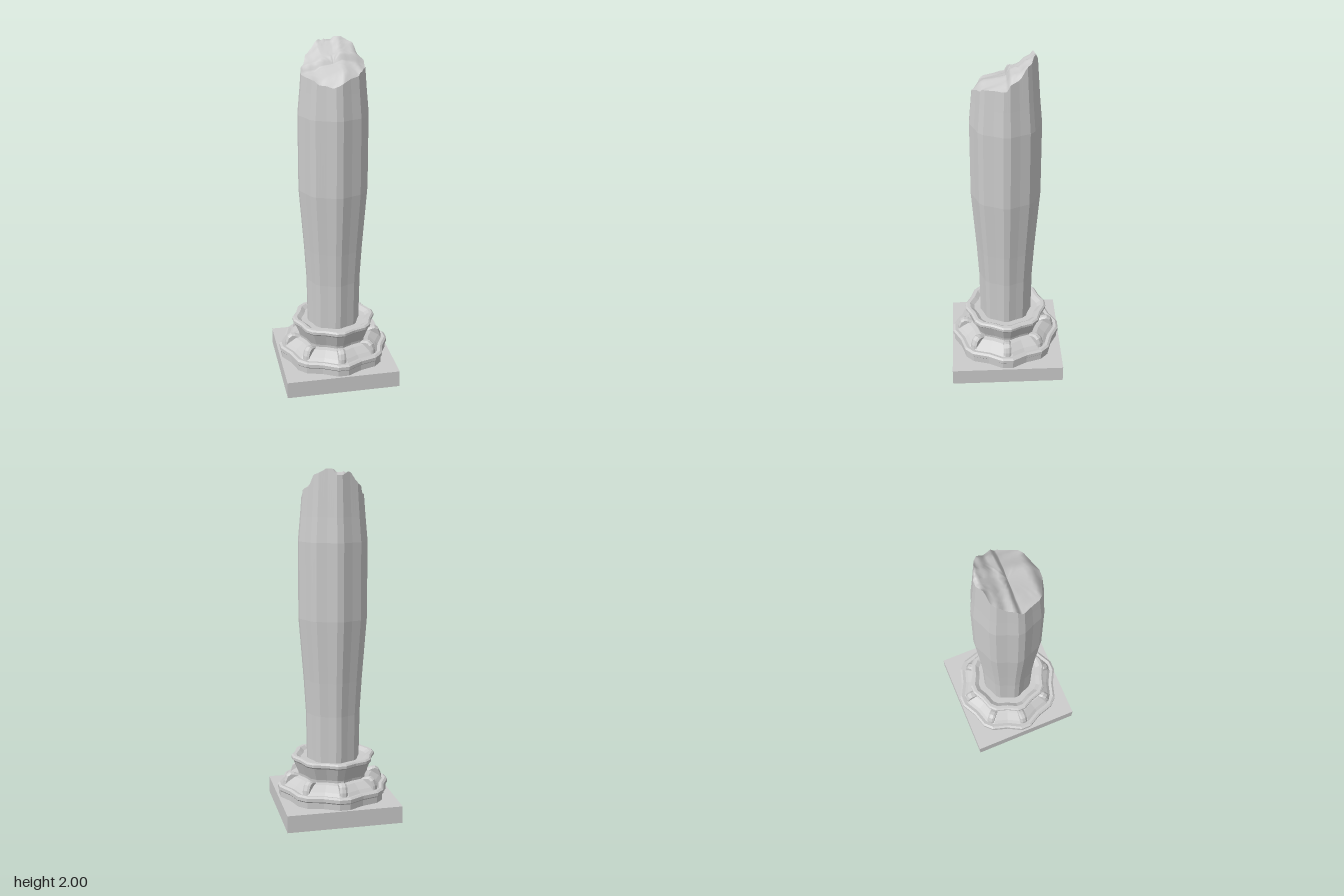
import * as THREE from 'three';

const material = new THREE.MeshStandardMaterial({ color: 0xcccccc, flatShading: true });
const TIP = THREE.MathUtils.degToRad(5.5);

// Eight blunt lobes: two tip corners and one valley corner per lobe, each edge split evenly.
function lobedOutline(valley, split = 1) {
  const corners = [];
  for (let k = 0; k < 8; k++) {
    const a = (k * Math.PI) / 4;
    for (const [angle, r] of [[a - TIP, 1], [a + TIP, 1], [a + Math.PI / 8, valley]])
      corners.push(new THREE.Vector2(Math.sin(angle) * r, Math.cos(angle) * r));
  }
  return corners.flatMap((c, i) => {
    const next = corners[(i + 1) % corners.length];
    return Array.from({ length: split }, (_, s) => c.clone().lerp(next, s / split));
  });
}

// Joins rings of equal point count, listed from the bottom and outside upwards and inwards.
function loft(name, rings) {
  const n = rings[0].length;
  const index = [];
  for (let j = 0; j < rings.length - 1; j++)
    for (let i = 0; i < n; i++) {
      const a = j * n + i, b = j * n + ((i + 1) % n);
      index.push(a, b, b + n, a, b + n, a + n);
    }
  const geometry = new THREE.BufferGeometry();
  geometry.setAttribute('position', new THREE.Float32BufferAttribute(rings.flat(2), 3));
  geometry.setIndex(index);
  geometry.computeVertexNormals();
  const mesh = new THREE.Mesh(geometry, material);
  mesh.name = name;
  return mesh;
}

// Linear lookup through [position, value] pairs.
function lookup(table, t) {
  if (t <= table[0][0]) return table[0][1];
  for (let i = 1; i < table.length; i++) {
    const [t0, v0] = table[i - 1], [t1, v1] = table[i];
    if (t <= t1) return v0 + ((v1 - v0) * (t - t0)) / (t1 - t0);
  }
  return table[table.length - 1][1];
}

const shaftRadius = [[0.3, 0.155], [0.6, 0.16], [0.8, 0.172], [1.16, 0.2], [1.6, 0.2], [1.78, 0.183], [2, 0.168]];

// Broken top: stepped rise from front to back, with a jagged variation across the width.
const breakRise = [[-0.175, 1.97], [-0.15, 2], [-0.13, 1.97], [-0.1, 1.96], [-0.07, 1.93], [-0.02, 1.92],
  [0, 1.88], [0.08, 1.86], [0.13, 1.85], [0.155, 1.82], [0.175, 1.79]];
const backJag = [[-0.16, -0.08], [-0.14, -0.06], [-0.1, -0.045], [-0.07, -0.012], [0.02, -0.01], [0.05, 0.02],
  [0.08, 0.01], [0.13, 0.01], [0.15, -0.03], [0.17, -0.05]];
const frontJag = [[-0.17, -0.03], [-0.1, -0.04], [-0.05, -0.02], [0, 0], [0.03, 0.015], [0.11, -0.01], [0.16, 0.0]];
function breakHeight(x, z) {
  const t = THREE.MathUtils.clamp((0.17 - z) / 0.34, 0, 1);
  const y = lookup(breakRise, z) + t * lookup(backJag, x) + (1 - t) * lookup(frontJag, x);
  return Math.min(y, 2);
}

function createShaft() {
  const outline = lobedOutline(0.945, 4);
  const rings = [...shaftRadius.slice(0, 5), [1.74, 0.187]]
    .map(([y, r]) => outline.map((p) => [p.x * r, y, p.y * r]));
  // Settle the rim where the tapering side meets the break.
  const rim = outline.map((p) => {
    let y = 1.85;
    for (let i = 0; i < 6; i++) {
      const r = lookup(shaftRadius, y);
      y = breakHeight(p.x * r, p.y * r);
    }
    const r = lookup(shaftRadius, y);
    return [p.x * r, y, p.y * r];
  });
  rings.push(rim);
  const side = loft('shaft', rings);
  // Cap follows the break inwards to the centre.
  const cap = [1, 0.92, 0.82, 0.7, 0.56, 0.42, 0.28, 0.14, 0.001].map((s) =>
    rim.map(([x, y, z]) => [x * s, s === 1 ? y : breakHeight(x * s, z * s), z * s]));
  const top = loft('brokenTop', cap);
  top.material = new THREE.MeshStandardMaterial({ color: 0xcccccc });
  return [side, top];
}

function lobedPart(name, profile, valley) {
  const outline = lobedOutline(valley);
  return loft(name, profile.map(([r, y]) => outline.map((p) => [p.x * r, y, p.y * r])));
}

export function createModel() {
  const model = new THREE.Group();
  model.name = 'brokenColumn';

  // Square plinth
  const plinth = new THREE.Mesh(new THREE.BoxGeometry(0.67, 0.1, 0.67), material);
  plinth.name = 'plinth';
  plinth.position.y = 0.05;
  model.add(plinth);

  // Scalloped foot with its sloping petals
  model.add(lobedPart('scallopedFoot', [[0.323, 0.1], [0.323, 0.135], [0.331, 0.143], [0.331, 0.163],
    [0.318, 0.172], [0.298, 0.168], [0.28, 0.185], [0.235, 0.215], [0.2, 0.222]], 0.925));

  // Flared collar with a thin lip
  model.add(lobedPart('flaredCollar', [[0.205, 0.2], [0.208, 0.235], [0.222, 0.27], [0.238, 0.31], [0.248, 0.32],
    [0.248, 0.335], [0.238, 0.343], [0.22, 0.343], [0.195, 0.325], [0.14, 0.322]], 0.93));

  // Ribs on the lobe tips
  const ribShape = new THREE.Shape([[0.2, 0.17], [0.292, 0.165], [0.288, 0.19], [0.276, 0.218], [0.258, 0.23],
    [0.24, 0.228], [0.2, 0.212]].map(([x, y]) => new THREE.Vector2(x, y)));
  const ribGeometry = new THREE.ExtrudeGeometry(ribShape,
    { depth: 0.02, bevelEnabled: true, bevelThickness: 0.012, bevelSize: 0.008, bevelSegments: 1 });
  ribGeometry.translate(0, 0, -0.01);
  const ribs = new THREE.Group();
  ribs.name = 'ribs';
  for (let k = 0; k < 8; k++) {
    const rib = new THREE.Mesh(ribGeometry, material);
    rib.name = 'rib';
    rib.rotation.y = (k * Math.PI) / 4;
    ribs.add(rib);
  }
  model.add(ribs);

  model.add(...createShaft());
  return model;
}
